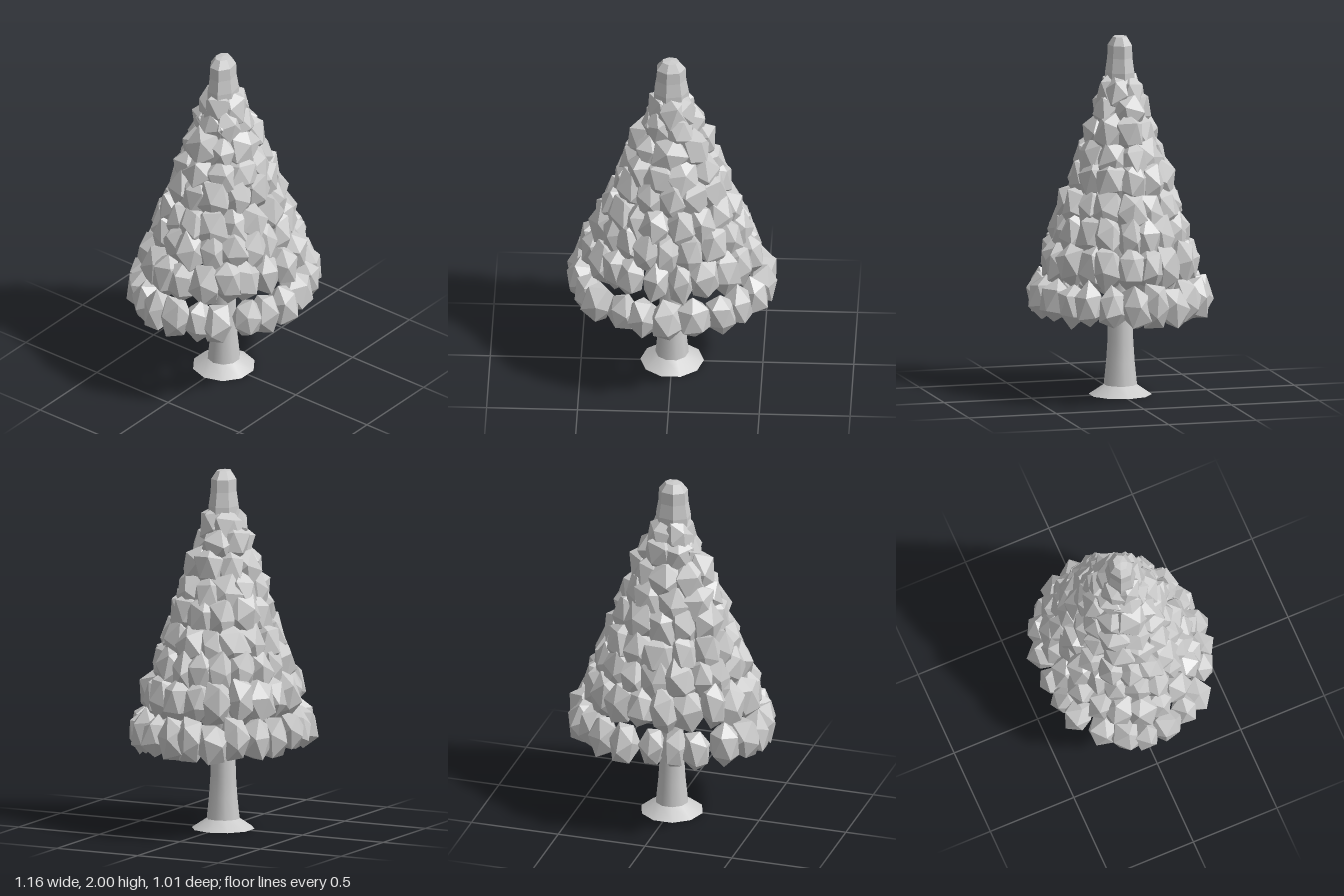
import * as THREE from 'three';
import { mergeGeometries, mergeVertices } from 'three/addons/utils/BufferGeometryUtils.js';

let seed = 7;
const rand = () => (seed = (seed * 16807) % 2147483647) / 2147483647;
const jitter = (amount) => (rand() - 0.5) * 2 * amount;

const leafMaterial = new THREE.MeshStandardMaterial({ color: 0xcccccc, flatShading: true });
const trunkMaterial = new THREE.MeshStandardMaterial({ color: 0xcccccc, side: THREE.DoubleSide });

// Turned shape with the given number of sides from [radius, height] pairs, rising from below
const lathe = (points, sides) =>
  new THREE.LatheGeometry(points.map(([r, y]) => new THREE.Vector2(r, y)), sides).rotateY(Math.PI / 2);

// One leaf clump: a randomly turned, uneven icosahedron with half sizes across, up and outward
function clump(across, up, outward) {
  let geo = new THREE.IcosahedronGeometry(1.07, 0);
  geo.deleteAttribute('uv');
  geo.deleteAttribute('normal');
  geo = mergeVertices(geo);
  const p = geo.attributes.position;
  for (let i = 0; i < p.count; i++) {
    const s = 1 + jitter(0.14);
    p.setXYZ(i, p.getX(i) * s, p.getY(i) * s, p.getZ(i) * s);
  }
  geo.rotateX(rand() * 6.28).rotateY(rand() * 6.28);
  return geo.scale(across, up, outward);
}

// Rings of clumps: [centre height, outer x radius, outer z radius, count, clump half width, half height]
const RINGS = [
  [0.565, 0.59, 0.505, 22, 0.083, 0.122],
  [0.77, 0.51, 0.435, 20, 0.085, 0.13],
  [0.93, 0.445, 0.385, 18, 0.088, 0.125],
  [1.055, 0.395, 0.34, 15, 0.09, 0.125],
  [1.215, 0.33, 0.288, 12, 0.095, 0.13],
  [1.335, 0.288, 0.255, 10, 0.095, 0.12],
  [1.465, 0.24, 0.21, 8, 0.095, 0.12],
  [1.585, 0.182, 0.165, 6, 0.095, 0.115],
  [1.69, 0.15, 0.135, 5, 0.09, 0.11],
];

export function createModel() {
  const tree = new THREE.Group();
  const add = (name, geo, material) => {
    const mesh = new THREE.Mesh(geo, material);
    mesh.name = name;
    tree.add(mesh);
    return mesh;
  };

  // Hollow trunk and flared foot, open underneath
  const shaft = [[0.092, 0.055], [0.079, 0.18], [0.071, 0.3], [0.067, 0.5], [0.058, 1], [0.03, 1.7]];
  add('trunk', lathe(shaft, 10), trunkMaterial).position.z = -0.007;
  add('trunkFoot', lathe([[0.175, 0], [0.092, 0.055]], 10), trunkMaterial).position.z = -0.007;

  // Hollow rings of foliage, staggered and leaning in along the slope of the crown
  RINGS.forEach(([y, rx, rz, count, across, up], ring) => {
    const depth = Math.min(0.085, rx * 0.5);
    const clumps = [];
    for (let i = 0; i < count; i++) {
      const a = ((i + (ring % 2) / 2 + jitter(0.12)) / count) * Math.PI * 2;
      const geo = clump(across * (1 + jitter(0.12)), up, depth);
      geo.rotateX(-0.12);
      geo.rotateY(a);
      geo.translate(
        Math.sin(a) * (rx - depth) + jitter(0.01),
        y + jitter(0.012),
        Math.cos(a) * (rz - depth) - 0.0015 * ring + jitter(0.01)
      );
      clumps.push(geo);
    }
    add('foliageRing' + (ring + 1), mergeGeometries(clumps), leafMaterial);
  });

  // Tip: a blunt, seven-sided cap, slightly flattened from front to back
  const cap = [[0.1, 1.68], [0.1, 1.8], [0.086, 1.88], [0.083, 1.95], [0.048, 1.995], [0, 2]];
  const tip = add('treeTip', lathe(cap, 7).scale(1, 1, 0.82), leafMaterial);
  tip.position.set(-0.008, 0, -0.008);

  return tree;
}
